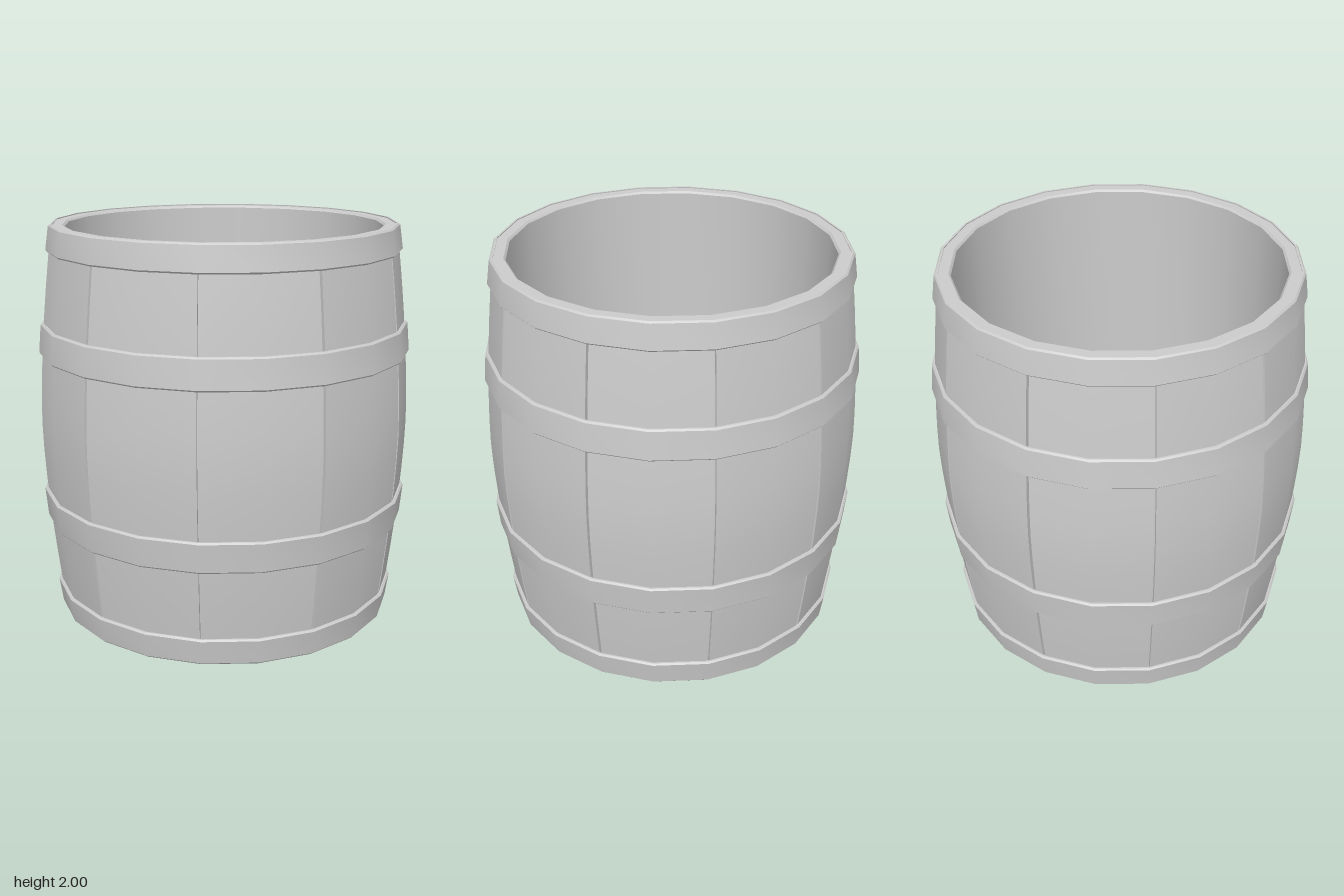
import * as THREE from 'three';
import { toCreasedNormals } from 'three/addons/utils/BufferGeometryUtils.js';

const SIDES = 20, STAVES = 10, CREASE = 0.5;
const material = new THREE.MeshStandardMaterial({ color: 0xcccccc });

// Bulging outer radius of the barrel at height y
const radiusAt = (y) => 0.943 - 0.086 * Math.pow(Math.abs(y - 1), 1.6);

function addMesh(parent, name, geometry) {
  const mesh = new THREE.Mesh(toCreasedNormals(geometry, CREASE), material);
  mesh.name = name;
  parent.add(mesh);
  return mesh;
}

const lathe = (points) =>
  new THREE.LatheGeometry(points.map(([r, y]) => new THREE.Vector2(r, y)), SIDES);

// Heights spread evenly between two ends
const heights = (from, to, count) =>
  Array.from({ length: count + 1 }, (_, i) => from + ((to - from) * i) / count);

// Closed tapered band with bevelled outer edges
function hoopGeometry(y0, y1) {
  const b = 0.008, out = 0.016, inset = 0.002;
  const r0 = radiusAt(y0), r1 = radiusAt(y1);
  return lathe([
    [r0 - inset, y0], [r0 + out - b, y0], [r0 + out, y0 + b],
    [r1 + out, y1 - b], [r1 + out - b, y1], [r1 - inset, y1], [r0 - inset, y0],
  ]);
}

// Curved plank: two facets wide, with side walls dropping into the grooves
function staveGeometry() {
  const half = Math.PI / STAVES - 0.0075;
  const section = [[-half, 0.025], [-half, 0], [0, 0], [half, 0], [half, 0.025]];
  const rows = heights(0.02, 1.98, 14);
  const positions = [], index = [];
  rows.forEach((y, j) => {
    section.forEach(([angle, depth], i) => {
      const r = radiusAt(y) - depth;
      positions.push(r * Math.sin(angle), y, r * Math.cos(angle));
      if (j < rows.length - 1 && i < section.length - 1) {
        const a = j * section.length + i, d = a + section.length;
        index.push(a, a + 1, d + 1, a, d + 1, d);
      }
    });
  });
  const geometry = new THREE.BufferGeometry();
  geometry.setAttribute('position', new THREE.Float32BufferAttribute(positions, 3));
  geometry.setIndex(index);
  return geometry;
}

export function createModel() {
  const barrel = new THREE.Group();
  barrel.name = 'barrel';

  // Inner shell: groove bottoms outside, full-width rims, straight bore inside
  const low = 0.005, high = 1.995, bore = 0.795, bevel = 0.01;
  const grooves = heights(0.1, 1.9, 14).map((y) => [radiusAt(y) - 0.02, y]);
  addMesh(barrel, 'shell', lathe([
    [radiusAt(low), low], [radiusAt(0.08), 0.08], ...grooves,
    [radiusAt(1.92), 1.92], [radiusAt(high), high],
    [bore + bevel, high], [bore, high - bevel],
    [bore, low + bevel], [bore + bevel, low], [radiusAt(low), low],
  ]));

  // Staves
  const staves = new THREE.Group();
  staves.name = 'staves';
  barrel.add(staves);
  const plank = staveGeometry();
  for (let k = 0; k < STAVES; k++) {
    addMesh(staves, 'stave', plank).rotation.y = (k * 2 * Math.PI) / STAVES;
  }

  // Hoops
  addMesh(barrel, 'bottomHoop', hoopGeometry(0, 0.137));
  addMesh(barrel, 'lowerHoop', hoopGeometry(0.492, 0.65));
  addMesh(barrel, 'upperHoop', hoopGeometry(1.358, 1.512));
  addMesh(barrel, 'topHoop', hoopGeometry(1.867, 2));

  // Recessed floor
  const floor = new THREE.CylinderGeometry(0.8, 0.8, 0.05, SIDES);
  addMesh(barrel, 'floor', floor).position.y = 0.053;

  return barrel;
}
